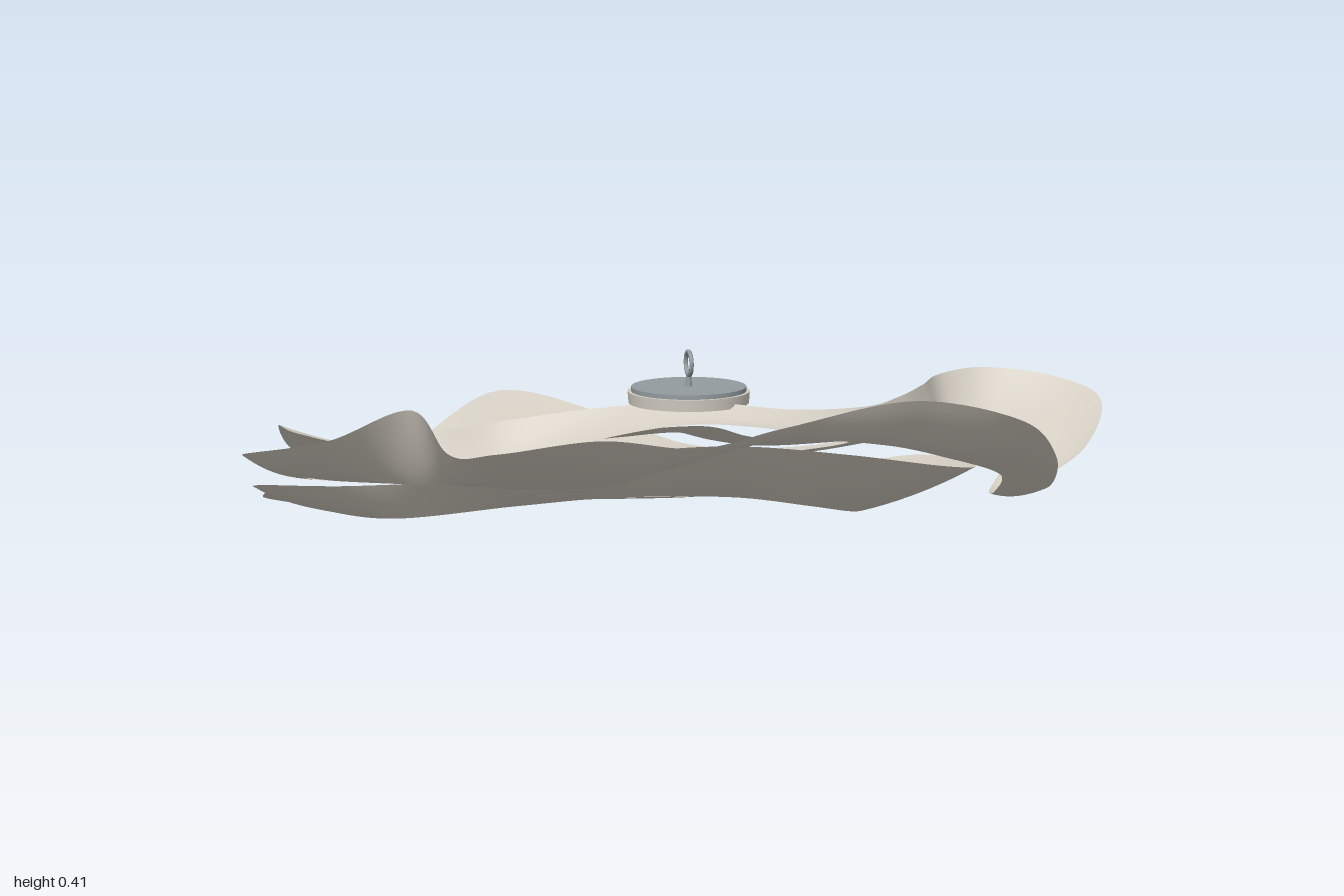
import * as THREE from 'three';

const ivory = new THREE.MeshStandardMaterial({ color: 0xd2ccc1, side: THREE.DoubleSide });
ivory.name = 'ivory';
const steel = new THREE.MeshStandardMaterial({ color: 0x949b9f });
steel.name = 'steel';

// Smooth closed curve through a few points
const loop = (pts) => new THREE.CatmullRomCurve3(pts.map((p) => new THREE.Vector3(...p)), true, 'centripetal');

// Closed band swept between an outer and an inner edge, slightly dished across its width
function ribbon(name, outerPts, innerPts, dish) {
  const outer = loop(outerPts), inner = loop(innerPts);
  const steps = outerPts.length * 10, across = 10;
  const pos = [], idx = [];
  for (let i = 0; i < steps; i++) {
    const a = outer.getPoint(i / steps), b = inner.getPoint(i / steps);
    for (let j = 0; j <= across; j++) {
      const t = j / across, p = a.clone().lerp(b, t);
      pos.push(p.x, p.y - dish * 4 * t * (1 - t) * Math.min(1, a.distanceTo(b) / 0.25), p.z);
    }
  }
  const row = across + 1;
  for (let i = 0; i < steps; i++) {
    for (let j = 0; j < across; j++) {
      const p = i * row + j, q = ((i + 1) % steps) * row + j;
      idx.push(p, p + 1, q, q, p + 1, q + 1);
    }
  }
  const geo = new THREE.BufferGeometry();
  geo.setAttribute('position', new THREE.Float32BufferAttribute(pos, 3));
  // face upward whichever way the loop runs
  const area = outerPts.reduce((s, p, i) => {
    const n = outerPts[(i + 1) % outerPts.length];
    return s + p[0] * n[2] - n[0] * p[2];
  }, 0);
  if (area > 0) idx.reverse();
  geo.setIndex(idx);
  geo.computeVertexNormals();
  const mesh = new THREE.Mesh(geo, ivory);
  mesh.name = name;
  return mesh;
}

function part(name, geo, mat, x, y, z) {
  const mesh = new THREE.Mesh(geo, mat);
  mesh.name = name;
  mesh.position.set(x, y, z);
  return mesh;
}

export function createModel() {
  const model = new THREE.Group();
  model.name = 'hangingRibbonSculpture';

  // Upper loop, along the front and out to both sides
  model.add(ribbon('upperRibbon', [
    [-1, 0.22, 0.13], [-0.91, 0.19, -0.03], [-0.75, 0.22, 0], [-0.6, 0.24, 0.075], [-0.4, 0.26, 0.07],
    [-0.2, 0.29, 0.13], [0, 0.315, 0.24], [0.2, 0.3, 0.31], [0.38, 0.29, 0.25], [0.5, 0.28, 0.08],
    [0.6, 0.275, -0.1], [0.67, 0.275, -0.23], [0.77, 0.28, -0.27], [0.92, 0.265, -0.21], [1, 0.23, -0.09],
    [0.93, 0.14, 0.04], [0.79, 0.065, 0.09], [0.8, 0.095, 0.25], [0.76, 0.2, 0.47], [0.65, 0.305, 0.62],
    [0.42, 0.355, 0.59], [0.15, 0.285, 0.46], [-0.08, 0.27, 0.6], [-0.35, 0.32, 0.745], [-0.55, 0.28, 0.63],
    [-0.61, 0.25, 0.42], [-0.66, 0.33, 0.3], [-0.85, 0.27, 0.3],
  ], [
    [-0.86, 0.16, 0.12], [-0.83, 0.15, 0.095], [-0.72, 0.145, 0.12], [-0.55, 0.155, 0.165], [-0.38, 0.18, 0.15],
    [-0.22, 0.23, 0.2], [-0.02, 0.275, 0.31], [0.2, 0.265, 0.41], [0.42, 0.22, 0.36], [0.55, 0.17, 0.17],
    [0.63, 0.15, -0.02], [0.69, 0.15, -0.11], [0.75, 0.15, -0.13], [0.79, 0.15, -0.1], [0.79, 0.13, -0.05],
    [0.75, 0.09, 0], [0.7, 0.065, 0.1], [0.68, 0.085, 0.23], [0.66, 0.145, 0.36], [0.52, 0.2, 0.44],
    [0.38, 0.235, 0.45], [0.15, 0.245, 0.4], [-0.1, 0.21, 0.45], [-0.24, 0.175, 0.48], [-0.36, 0.155, 0.38],
    [-0.48, 0.145, 0.26], [-0.62, 0.15, 0.22], [-0.8, 0.155, 0.15],
  ], 0.022));

  // Rear loop, rising to the canopy in the middle
  model.add(ribbon('rearRibbon', [
    [-0.79, 0.19, -0.4], [-0.72, 0.11, -0.53], [-0.6, 0.07, -0.575], [-0.45, 0.1, -0.6], [-0.2, 0.19, -0.75],
    [0, 0.15, -0.65], [0.17, 0.09, -0.535], [0.45, 0.065, -0.59], [0.65, 0.11, -0.5], [0.765, 0.15, -0.35],
    [0.68, 0.17, -0.24], [0.5, 0.15, -0.23], [0.35, 0.15, -0.18], [0.2, 0.18, -0.06], [0.06, 0.23, 0.07],
    [-0.13, 0.23, 0.09], [-0.38, 0.18, -0.09], [-0.65, 0.18, -0.11], [-0.79, 0.2, -0.23],
  ], [
    [-0.44, 0.12, -0.345], [-0.43, 0.1, -0.36], [-0.39, 0.08, -0.37], [-0.33, 0.08, -0.39], [-0.2, 0.09, -0.45],
    [0, 0.08, -0.43], [0.2, 0.07, -0.37], [0.4, 0.08, -0.44], [0.5, 0.1, -0.4], [0.53, 0.12, -0.37],
    [0.52, 0.12, -0.33], [0.35, 0.12, -0.33], [0.22, 0.13, -0.29], [0.12, 0.16, -0.2], [0, 0.2, -0.1],
    [-0.1, 0.19, -0.16], [-0.2, 0.17, -0.2], [-0.36, 0.14, -0.3], [-0.42, 0.13, -0.33],
  ], 0.015));

  // Lowest loop, passing beneath the other two
  model.add(ribbon('lowerRibbon', [
    [-0.74, 0.012, -0.49], [-0.82, 0.03, -0.4], [-0.87, 0.08, -0.2], [-0.93, 0.12, -0.04], [-0.75, 0.135, 0.11],
    [-0.4, 0.15, 0.15], [-0.15, 0.205, 0.24], [0.05, 0.238, 0.4], [0.27, 0.23, 0.52], [0.5, 0.185, 0.45],
    [0.63, 0.145, 0.25], [0.66, 0.12, 0], [0.6, 0.1, -0.21], [0.45, 0.08, -0.24], [0.28, 0.075, -0.2],
    [0.05, 0.07, -0.04], [-0.2, 0.045, -0.17], [-0.5, 0.015, -0.36],
  ], [
    [-0.72, 0.035, -0.29], [-0.79, 0.06, -0.26], [-0.81, 0.06, -0.19], [-0.76, 0.05, -0.08], [-0.65, 0.05, 0.06],
    [-0.35, 0.06, 0.02], [-0.15, 0.08, 0.08], [0.1, 0.09, 0.2], [0.25, 0.08, 0.3], [0.35, 0.06, 0.27],
    [0.42, 0.05, 0.13], [0.4, 0.05, 0], [0.34, 0.05, -0.07], [0.29, 0.055, -0.08], [0.2, 0.065, -0.02],
    [0.03, 0.08, 0.1], [-0.23, 0.06, -0.06], [-0.5, 0.04, -0.2],
  ], 0.012));

  // Round canopy with a hanging ring
  const canopy = new THREE.Group();
  canopy.name = 'canopy';
  canopy.position.set(0, 0, 0.17);
  canopy.add(part('canopyBase', new THREE.CylinderGeometry(0.135, 0.133, 0.026, 64), ivory, 0, 0.315, 0));
  canopy.add(part('canopyPlate', new THREE.CylinderGeometry(0.127, 0.127, 0.01, 64), steel, 0, 0.333, 0));
  canopy.add(part('ringStem', new THREE.CylinderGeometry(0.005, 0.008, 0.035, 16), steel, 0, 0.351, 0));
  const ring = part('hangingRing', new THREE.TorusGeometry(0.026, 0.005, 12, 40), steel, 0, 0.389, 0);
  ring.rotation.y = Math.PI / 2;
  canopy.add(ring);
  model.add(canopy);

  return model;
}
